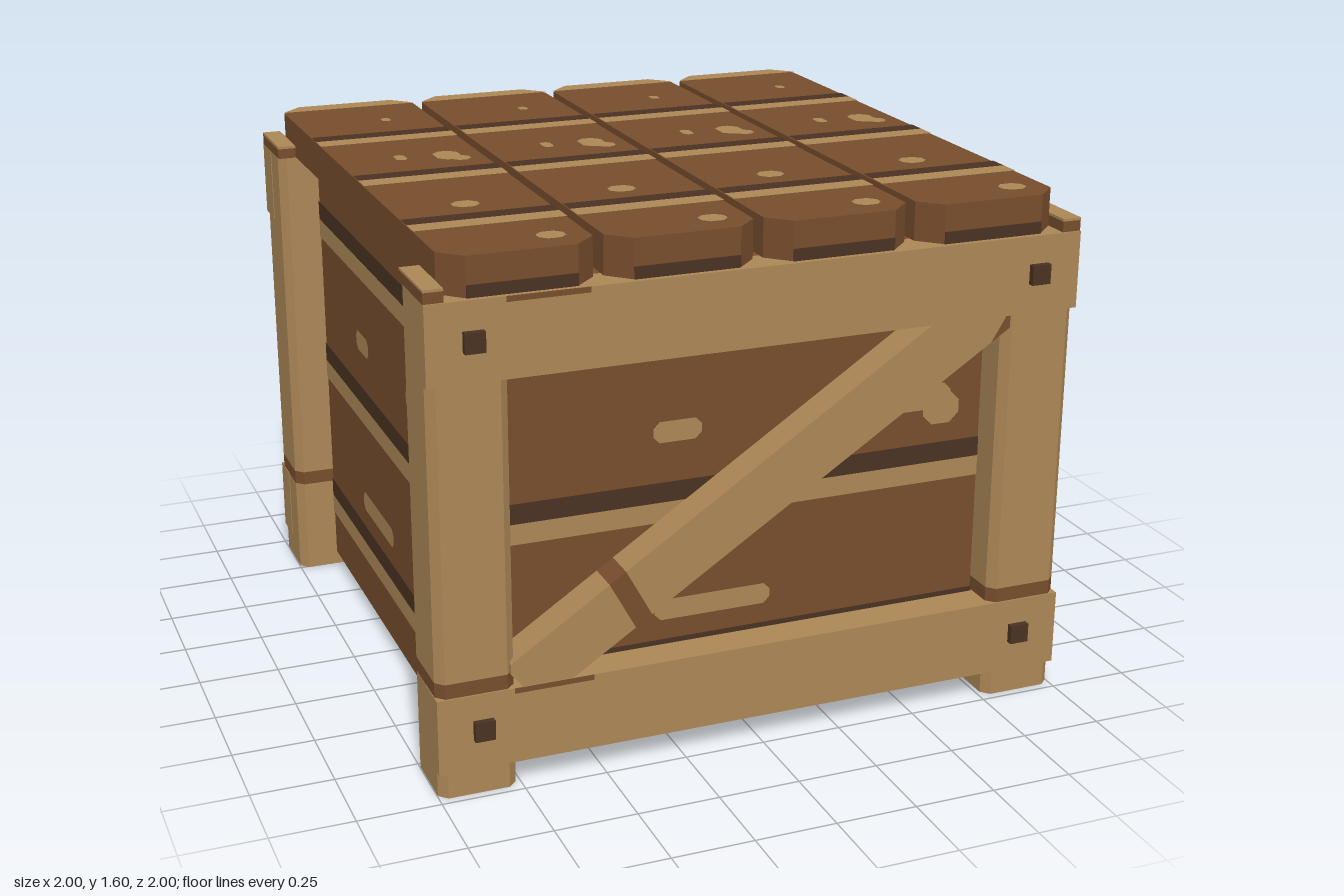
import * as THREE from 'three';

const mat = (name, color) => {
  const m = new THREE.MeshStandardMaterial({ color });
  m.name = name;
  return m;
};

export function createModel() {
  const tan = mat('light timber', 0xab8656);
  const brown = mat('brown plank', 0x774c2c);
  const dark = mat('dark groove', 0x4a3222);
  const root = new THREE.Group();
  root.name = 'woodenCrate';

  const add = (parent, name, geo, material, x = 0, y = 0, z = 0) => {
    const m = new THREE.Mesh(geo, material);
    m.name = name;
    m.position.set(x, y, z);
    parent.add(m);
    return m;
  };
  const box = (parent, name, material, x0, x1, y0, y1, z0, z1) =>
    add(parent, name, new THREE.BoxGeometry(x1 - x0, y1 - y0, z1 - z0), material,
      (x0 + x1) / 2, (y0 + y1) / 2, (z0 + z1) / 2);
  const poly = (pts) => new THREE.Shape(pts.map(([x, y]) => new THREE.Vector2(x, y)));
  const extrude = (shape, depth) => new THREE.ExtrudeGeometry(shape, { depth, bevelEnabled: false });

  // Rectangle in plan with cut corners
  const cutRect = (w, d, c) => {
    const a = w / 2, b = d / 2;
    return poly([[-a + c, -b], [a - c, -b], [a, -b + c], [a, b - c],
      [a - c, b], [-a + c, b], [-a, b - c], [-a, -b + c]]);
  };
  const upright = (w, d, c, y0, y1) =>
    extrude(cutRect(w, d, c), y1 - y0).rotateX(-Math.PI / 2).translate(0, y0, 0);

  // Flat painted stripe and knot, in a face's own right/up plane
  const stripe = (face, material, u0, u1, v0, v1) =>
    add(face, 'stripe', new THREE.PlaneGeometry(u1 - u0, v1 - v0), material, (u0 + u1) / 2, (v0 + v1) / 2, 0.003);
  const knot = (face, u, v, w, h) => {
    const c = Math.min(w, h) * 0.3;
    add(face, 'knot', new THREE.ShapeGeometry(cutRect(w, h, c)), tan, u, v, 0.003);
  };
  const face = (name, rx, ry, x, y, z) => {
    const g = new THREE.Group();
    g.name = name;
    g.rotation.set(rx, ry, 0);
    g.position.set(x, y, z);
    root.add(g);
    return g;
  };

  // Crate body
  box(root, 'body', brown, -0.87, 0.87, 0.045, 1.475, -0.855, 0.855);
  for (let i = 0; i < 4; i++) {
    const side = i % 2, r = side ? 0.87 : 0.855, half = side ? 0.855 : 0.87;
    const a = i * Math.PI / 2;
    const f = face('wallPaint', 0, a, Math.sin(a) * r, 0, Math.cos(a) * r);
    for (const y of [0.2, 0.7, 1.2]) {
      stripe(f, tan, -half, half, y, y + 0.063);
      stripe(f, dark, -half, half, y + 0.063, y + 0.125);
    }
    knot(f, -0.225, 0.98, 0.15, 0.065);
    knot(f, 0.475, 0.975, 0.37, 0.08);
    knot(f, 0.63, 0.935, 0.12, 0.1);
    knot(f, -0.11, 0.42, 0.37, 0.065);
    knot(f, 0.46, 0.06, 0.32, 0.03);
    knot(f, 0.25, 1.457, 0.1, 0.035);
  }
  // Stripes across the underside and inner top of the body
  for (const [name, rx, y] of [['floorPaint', Math.PI / 2, 0.045], ['innerTopPaint', -Math.PI / 2, 1.475]]) {
    const f = face(name, rx, 0, 0, y, 0);
    for (const v of [-0.69, -0.16, 0.37]) {
      stripe(f, tan, -0.87, 0.87, v, v + 0.068);
      stripe(f, dark, -0.87, 0.87, v + 0.068, v + 0.13);
    }
    if (rx > 0) {
      for (const [u, v, w] of [[0.58, 0.78, 0.2], [0.11, 0.7, 0.2], [0.55, -0.14, 0.15], [0.37, -0.72, 0.06], [-0.35, -0.66, 0.2]])
        knot(f, u, v, w, 0.07);
    }
  }

  // Corner posts with a brown band and capped outer edge
  for (const sx of [-1, 1]) for (const sz of [-1, 1]) {
    const post = new THREE.Group();
    post.name = 'cornerPost';
    post.position.set(sx * 0.881, 0, sz * 0.86);
    root.add(post);
    for (const [y0, y1, m] of [[0, 0.315, tan], [0.315, 0.36, brown], [0.36, 1.48, tan]])
      add(post, 'postSection', upright(0.234, 0.23, 0.025, y0, y1), m);
    box(post, 'postCap', brown, sx * 0.09 - 0.029, sx * 0.09 + 0.029, 1.48, 1.512, -0.115, 0.115);
    box(post, 'postCapTop', tan, sx * 0.09 - 0.029, sx * 0.09 + 0.029, 1.512, 1.52, -0.115, 0.115);
  }

  // Front and back frames: rails, diagonal brace and bolts
  const brace = [
    [tan, [[-0.78, 0.39], [-0.78, 0.36], [-0.74, 0.31], [-0.6, 0.31], [-0.4, 0.44], [-0.48, 0.587]]],
    [brown, [[-0.48, 0.587], [-0.4, 0.44], [-0.35, 0.473], [-0.43, 0.62]]],
    [tan, [[-0.43, 0.62], [-0.35, 0.473], [0.72, 1.168], [0.77, 1.25], [0.53, 1.25]]],
    [brown, [[0.72, 1.168], [0.78, 1.207], [0.78, 1.25], [0.77, 1.25]]],
  ];
  for (const s of [-1, 1]) {
    const zc = s * 0.925;
    const frame = new THREE.Group();
    frame.name = s > 0 ? 'frontFrame' : 'backFrame';
    root.add(frame);
    for (const [y0, y1] of [[0.08, 0.315], [1.245, 1.48]]) {
      box(frame, 'rail', tan, -1, 1, y0, y1, zc - 0.055, zc + 0.055);
      box(frame, 'railScuff', brown, -0.77, -0.53, y1 - 0.016, y1, s * 0.98 - 0.002, s * 0.98 + 0.002);
    }
    for (const [m, pts] of brace)
      add(frame, 'brace', extrude(poly(pts), 0.108), m, 0, 0, s > 0 ? 0.87 : -0.978);
    for (const x of [-0.865, 0.865]) for (const y of [0.205, 1.365])
      add(frame, 'bolt', new THREE.BoxGeometry(0.06, 0.06, 0.06), dark, x, y, s * 0.97);
  }

  // Lid planks
  for (let i = 0; i < 4; i++) {
    const plank = new THREE.Group();
    plank.name = 'lidPlank';
    plank.position.x = (i - 1.5) * 0.478;
    root.add(plank);
    const h = 0.2235, d = 0.96, c = 0.065;
    add(plank, 'plankBoard', upright(h * 2, d * 2, c, 1.48, 1.597), brown);
    for (const s of [-1, 1])
      box(plank, 'plankEndGroove', dark, -h + c, h - c, 1.48, 1.516, s * d - 0.003, s * d + 0.003);

    const top = new THREE.Group();
    top.name = 'plankPaint';
    top.rotation.x = -Math.PI / 2;
    top.position.y = 1.597;
    plank.add(top);
    for (const v of [-0.69, -0.16, 0.37]) {
      stripe(top, tan, -h, h, v, v + 0.068);
      stripe(top, dark, -h, h, v + 0.068, v + 0.13);
    }
    add(top, 'endStripe', new THREE.ShapeGeometry(
      poly([[-h, 0.89], [h, 0.89], [h, d - c], [h - c, d], [-h + c, d], [-h, d - c]])), tan, 0, 0, 0.003);
    knot(top, 0.067, 0.67, 0.03, 0.045);
    knot(top, -0.03, 0.14, 0.035, 0.065);
    knot(top, 0.115, 0.12, 0.08, 0.11);
    knot(top, 0.145, 0.075, 0.06, 0.06);
    knot(top, -0.005, -0.46, 0.08, 0.07);
    knot(top, 0.117, -0.855, 0.08, 0.07);
  }
  return root;
}
